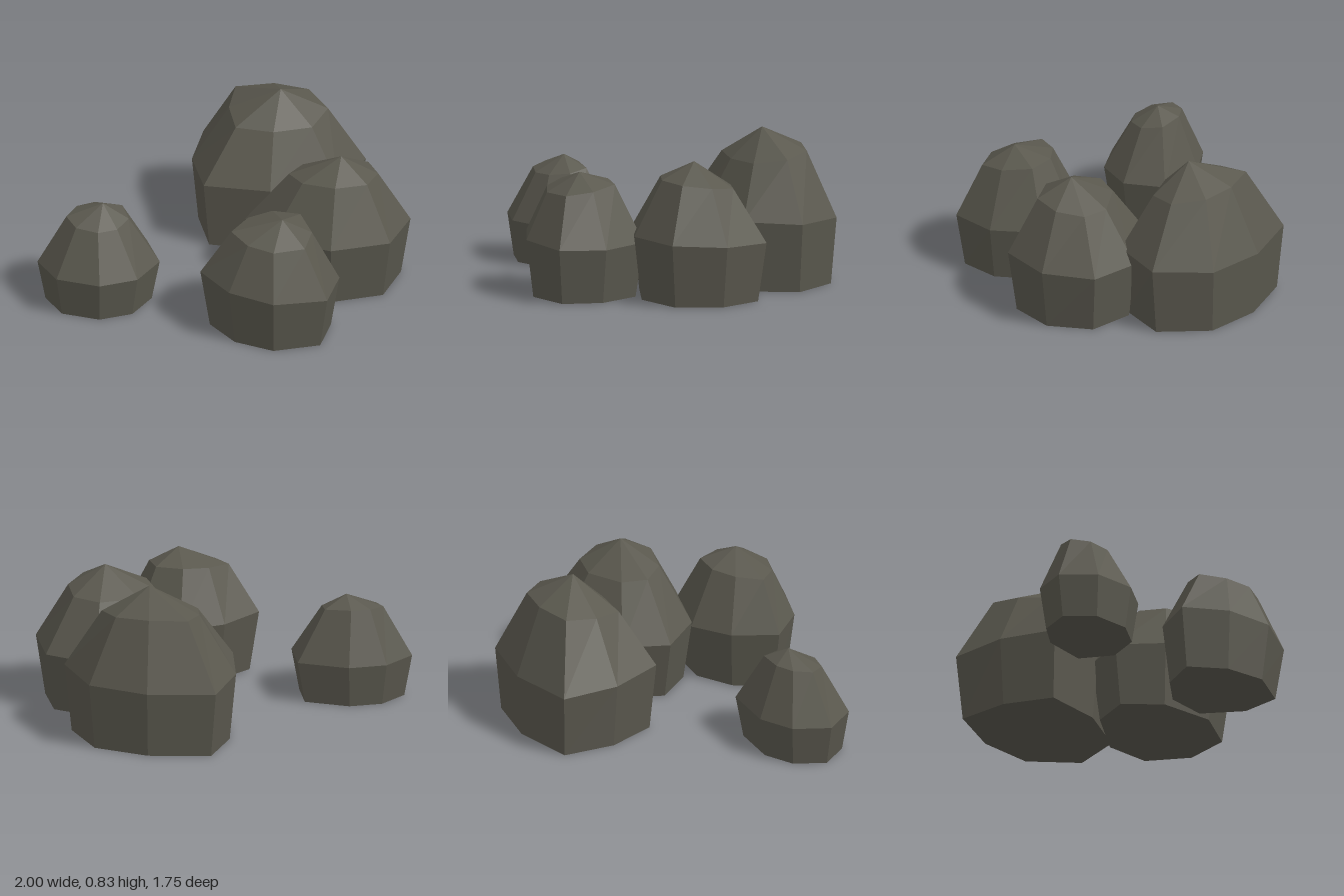
import * as THREE from 'three';

// outline: widest ring as [x, z]; belt and shoulder heights as [height, slope along x, slope along z]
const ROCKS = [
  {
    name: 'backRock', apex: [0.34, 0.83, -0.48], taper: 0.92,
    outline: [[-0.05, -0.85], [0.315, -0.88], [0.635, -0.775], [0.795, -0.49],
      [0.63, -0.22], [0.265, -0.165], [-0.085, -0.25], [-0.13, -0.55]],
    belt: [0.37, 0, 0.04], shoulder: [0.69, 0, -0.14], centre: [0.31, -0.52], shrink: 0.57,
  },
  {
    name: 'leftRock', apex: [0.63, 0.74, 0.075], taper: 0.88,
    outline: [[0.12, 0.01], [0.27, -0.2], [0.65, -0.315], [0.92, -0.21],
      [1, 0.065], [0.875, 0.33], [0.555, 0.395], [0.24, 0.25]],
    belt: [0.33, 0, 0.04], shoulder: [0.62, 0, 0.12], centre: [0.6, 0.055], shrink: 0.54,
  },
  {
    name: 'frontRock', apex: [0.285, 0.668, 0.585], taper: 0.87,
    outline: [[-0.15, 0.535], [0.015, 0.34], [0.245, 0.25], [0.5, 0.31],
      [0.59, 0.58], [0.51, 0.82], [0.22, 0.87], [-0.01, 0.75]],
    belt: [0.31, -0.05, 0], shoulder: [0.585, 0, -0.13], centre: [0.24, 0.57], shrink: 0.58,
  },
  {
    name: 'rightRock', apex: [-0.65, 0.57, 0.2], taper: 0.87,
    outline: [[-1, 0.215], [-0.88, 0.045], [-0.685, -0.02], [-0.405, 0.035],
      [-0.35, 0.255], [-0.48, 0.435], [-0.685, 0.49], [-0.91, 0.405]],
    belt: [0.228, 0, 0], shoulder: [0.495, -0.03, -0.14], centre: [-0.68, 0.22], shrink: 0.51,
  },
];

// Stitches base, belt and shoulder rings, then closes them at the apex and floor
function rockGeometry({ apex, outline, taper, belt, shoulder, centre, shrink }) {
  const n = outline.length;
  const cx = outline.reduce((sum, p) => sum + p[0], 0) / n;
  const cz = outline.reduce((sum, p) => sum + p[1], 0) / n;
  const ring = (scale, [ox, oz], [height, slopeX, slopeZ]) => outline.map(([x, z]) => {
    const dx = (x - cx) * scale, dz = (z - cz) * scale;
    return [ox + dx, height + slopeX * dx + slopeZ * dz, oz + dz];
  });
  const rings = [
    ring(taper, [cx, cz], [0, 0, 0]),
    ring(1, [cx, cz], belt),
    ring(shrink, centre, shoulder),
  ];
  const corners = [];
  for (let i = 0; i < n; i++) {
    const j = (i + 1) % n;
    for (let r = 0; r < 2; r++) {
      const low = rings[r], high = rings[r + 1];
      corners.push(low[j], low[i], high[i], low[j], high[i], high[j]);
    }
    corners.push(rings[2][j], rings[2][i], apex);
    corners.push([cx, 0, cz], rings[0][i], rings[0][j]);
  }
  const geometry = new THREE.BufferGeometry();
  geometry.setAttribute('position', new THREE.Float32BufferAttribute(corners.flat(), 3));
  geometry.computeVertexNormals(); // separate corners keep every facet flat
  return geometry;
}

export function createModel() {
  const group = new THREE.Group();
  group.name = 'rockCluster';
  const stone = new THREE.MeshStandardMaterial({ color: 0x5a584e });
  stone.name = 'darkStone';
  for (const rock of ROCKS) {
    const mesh = new THREE.Mesh(rockGeometry(rock), stone);
    mesh.name = rock.name;
    group.add(mesh);
  }
  return group;
}
